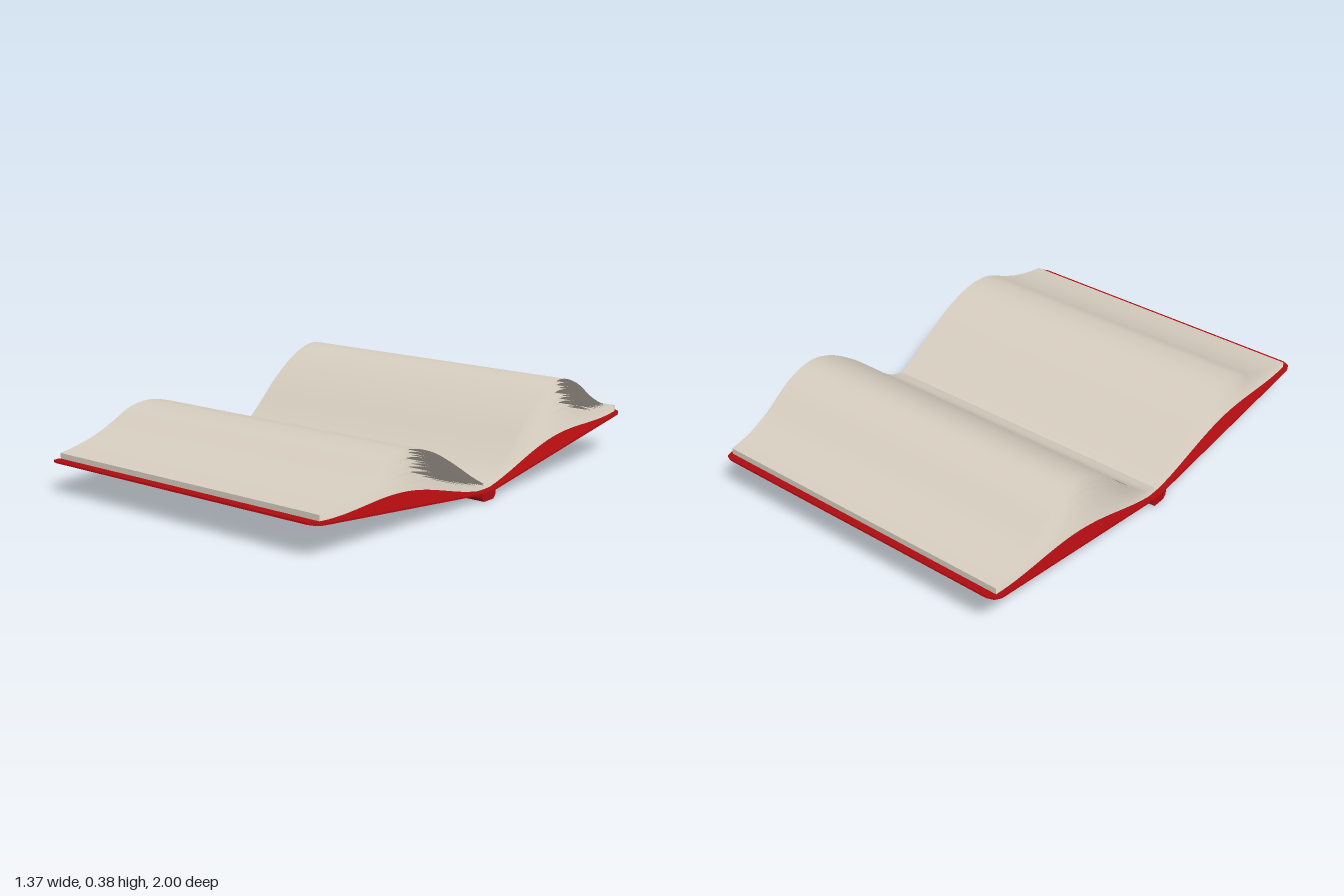
import * as THREE from 'three';

const red = new THREE.MeshStandardMaterial({ color: 0xb00c10 });
const paper = new THREE.MeshStandardMaterial({ color: 0xd6cdbf, side: THREE.DoubleSide });

const COVER_X = 0.68, PAGE_X = 0.66, HINGE_Z = 0.04, HINGE_Y = 0.035;
const LAYERS = 15, SEGMENTS = 36;

function named(geometry, material, name) {
  const mesh = new THREE.Mesh(geometry, material);
  mesh.name = name;
  return mesh;
}

// Flat board with clipped outer corners, hinged at the spine
function makeCover(edgeY) {
  const rise = edgeY - HINGE_Y, run = 1 - HINGE_Z;
  const length = Math.hypot(rise, run), c = 0.04, m = 0.012;
  const shape = new THREE.Shape([
    [-COVER_X, 0], [COVER_X, 0], [COVER_X, length - c], [COVER_X - m, length - m],
    [COVER_X - c, length], [-COVER_X + c, length], [-COVER_X + m, length - m], [-COVER_X, length - c],
  ].map(([x, y]) => new THREE.Vector2(x, y)));
  const cover = named(new THREE.ExtrudeGeometry(shape, { depth: 0.007, bevelEnabled: false }), red, 'cover');
  cover.position.set(0, HINGE_Y, HINGE_Z);
  cover.rotation.x = Math.PI / 2 - Math.atan2(rise, run);
  return cover;
}

// One half of the open book, running from the spine towards +z
function makeHalf(name, edgeY, profile) {
  const half = new THREE.Group();
  half.name = name;
  half.add(makeCover(edgeY));

  const top = new THREE.CatmullRomCurve3(profile.map(([z, y]) => new THREE.Vector3(0, y, z)));
  const endZ = profile[profile.length - 1][0];
  const coverY = z => HINGE_Y + (edgeY - HINGE_Y) * Math.max(0, z - HINGE_Z) / (1 - HINGE_Z);
  const bottomY = z => coverY(z) + 0.004 + 0.05 * Math.sin(Math.PI * z / endZ) ** 2;

  // Fanned sheets, blended from the lowest page to the arched top page
  for (let i = 0; i < LAYERS; i++) {
    const k = i / (LAYERS - 1);
    const sheet = new THREE.PlaneGeometry(PAGE_X * 2, 1, 1, SEGMENTS);
    const p = sheet.attributes.position;
    for (let j = 0; j < p.count; j++) {
      const t = 0.5 - p.getY(j);
      const q = top.getPoint(t);
      const wave = 0.12 * Math.sin(i * 2.4) * Math.sin(Math.PI * t) * k * (1 - k);
      const low = bottomY(q.z);
      p.setXYZ(j, p.getX(j), low + (q.y - low) * (k + wave), q.z);
    }
    sheet.computeVertexNormals();
    half.add(named(sheet, paper, i === LAYERS - 1 ? 'topPage' : 'page'));
  }

  // Closed outer edge of the page block
  const low = bottomY(endZ), high = profile[profile.length - 1][1];
  const edge = named(new THREE.PlaneGeometry(PAGE_X * 2, high - low), paper, 'foreEdge');
  edge.position.set(0, (high + low) / 2, endZ);
  half.add(edge);
  return half;
}

export function createModel() {
  const book = new THREE.Group();
  book.name = 'openBook';

  // Spine bar with chamfered underside
  const section = new THREE.Shape([
    [-0.045, 0.035], [-0.045, 0.016], [-0.03, 0], [0.03, 0], [0.045, 0.016], [0.045, 0.035],
  ].map(([x, y]) => new THREE.Vector2(x, y)));
  const spineGeometry = new THREE.ExtrudeGeometry(section, { depth: 1.37, bevelEnabled: false });
  spineGeometry.translate(0, 0, -0.685).rotateY(Math.PI / 2);
  book.add(named(spineGeometry, red, 'spine'));

  // Lower front half
  book.add(makeHalf('frontHalf', 0.134, [
    [0, 0.06], [0.08, 0.105], [0.2, 0.18], [0.33, 0.25], [0.45, 0.285], [0.52, 0.289],
    [0.6, 0.275], [0.7, 0.228], [0.8, 0.19], [0.9, 0.166], [0.96, 0.156],
  ]));

  // Taller back half
  const back = makeHalf('backHalf', 0.178, [
    [0, 0.06], [0.07, 0.085], [0.15, 0.145], [0.28, 0.265], [0.42, 0.357], [0.53, 0.385],
    [0.65, 0.352], [0.78, 0.268], [0.88, 0.222], [0.97, 0.203],
  ]);
  back.rotation.y = Math.PI;
  book.add(back);
  return book;
}
